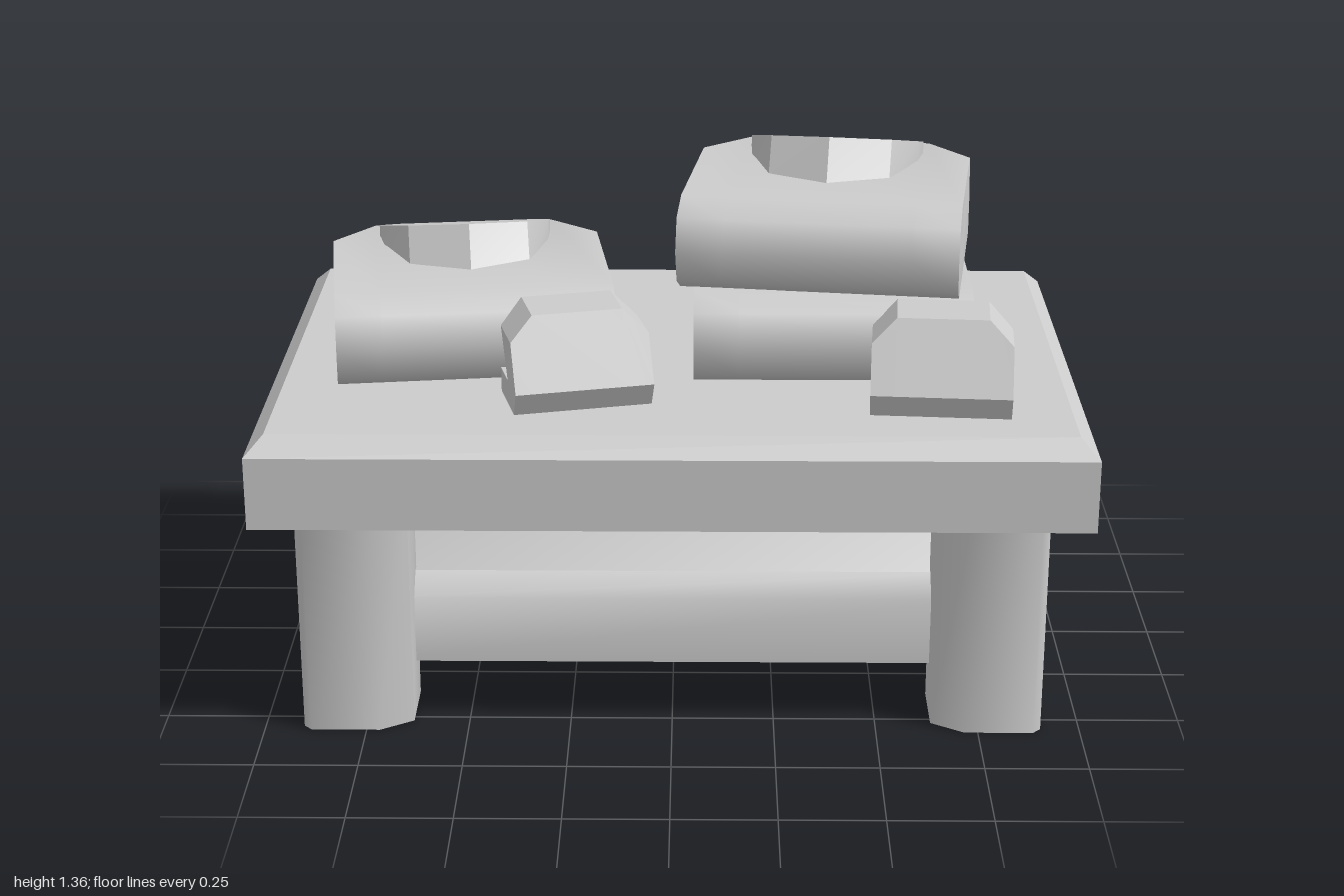
import * as THREE from 'three';
import { toCreasedNormals } from 'three/addons/utils/BufferGeometryUtils.js';

const grey = new THREE.MeshStandardMaterial({ color: 0xcccccc });
grey.name = 'plain grey';

// Capped skin over rings of [x, y, z] points that advance along +x or +y.
function loft(rings, axis, crease) {
  const flat = (p) => (axis === 'x' ? new THREE.Vector2(p[1], p[2]) : new THREE.Vector2(p[2], p[0]));
  if (THREE.ShapeUtils.area(rings[0].map(flat)) < 0) rings = rings.map((r) => [...r].reverse());
  const n = rings[0].length;
  const last = (rings.length - 1) * n;
  const index = [];
  for (let r = 0; r < last; r += n) {
    for (let i = 0; i < n; i++) {
      const a = r + i, b = r + ((i + 1) % n);
      index.push(a, b, b + n, a, b + n, a + n);
    }
  }
  const cap = (ring) => THREE.ShapeUtils.triangulateShape(ring.map(flat), []);
  for (const [a, b, c] of cap(rings[0])) index.push(c, b, a);
  for (const [a, b, c] of cap(rings[rings.length - 1])) index.push(last + a, last + b, last + c);
  const g = new THREE.BufferGeometry();
  g.setAttribute('position', new THREE.Float32BufferAttribute(rings.flat(2), 3));
  g.setIndex(index);
  return toCreasedNormals(g, crease);
}

function part(name, geometry) {
  const mesh = new THREE.Mesh(geometry, grey);
  mesh.name = name;
  return mesh;
}

// Slab whose top edge is bevelled all round.
function slab(w, d, y0, y1, bevel, crease) {
  const ring = (y, k) => [[-w + k, y, -d + k], [w - k, y, -d + k], [w - k, y, d - k], [-w + k, y, d - k]];
  return loft([ring(y0, 0), ring(y1 - bevel, 0), ring(y1, bevel)], 'y', crease);
}

// Leg with a nearly sharp outer corner and softer cuts on the others.
function leg(sx, sz) {
  const h = 0.134;
  const outline = [
    [h, h - 0.02], [h - 0.02, h], [-h + 0.08, h], [-h, h - 0.05],
    [-h, -h + 0.06], [-h + 0.06, -h], [h - 0.05, -h], [h, -h + 0.08],
  ];
  const ring = (y) => outline.map(([x, z]) => [sx * (0.771 + x), y, sz * (0.435 + z)]);
  return loft([ring(0), ring(0.575)], 'y', 1);
}

// Pillow-like sack: rounded front, sloped back, cut back corners.
function sackBody() {
  const section = (x, cut) => [
    [0.28, 0], [0.345, 0.035], [0.37, 0.115], [0.345, 0.195], [0.265, 0.228],
    [-0.28 + cut, 0.228], [-0.375 + cut, 0.11], [-0.375 + cut, 0],
  ].map(([z, y]) => [x, y, z]);
  return loft([section(-0.34, 0.12), section(-0.23, 0), section(0.23, 0), section(0.34, 0.12)], 'x', 1);
}

// Sloping flap that rises to a pointed front lip.
function sackFlap() {
  const outline = [
    [-0.17, -0.28, 0], [-0.22, -0.19, 0], [-0.21, -0.13, 0.02], [-0.15, -0.01, 0.07],
    [0, 0.055, 0.07], [0.15, -0.01, 0.07], [0.21, -0.13, 0.02], [0.22, -0.19, 0], [0.17, -0.28, 0],
  ];
  const foot = outline.map(([x, z, out]) => [x, -0.015, z + out]);
  const top = outline.map(([x, z]) => [x, 0.1 * (z + 0.29) / 0.345, z]);
  return loft([foot, top], 'y', 0.5);
}

// Leaning block with an overhanging back and cut top corners.
function leaningBlock() {
  const section = (x, drop) => [
    [0.07, 0], [0.1, 0.06], [0.01 + 0.55 * drop, 0.226 - drop], [-0.13 + 0.7 * drop, 0.226 - drop],
    [-0.01, 0.06], [-0.1, 0.06], [-0.1, 0],
  ].map(([z, y]) => [x, y, z]);
  return loft([section(-0.168, 0.055), section(-0.11, 0), section(0.11, 0), section(0.168, 0.055)], 'x', 0.6);
}

export function createModel() {
  const model = new THREE.Group();
  model.name = 'tableWithSacks';

  // Table
  model.add(part('tableTop', slab(1, 0.66, 0.575, 0.8, 0.045, 0.5)));
  model.add(part('lowerShelf', slab(0.77, 0.43, 0.12, 0.345, 0.05, 1)));
  for (const sx of [-1, 1]) {
    for (const sz of [-1, 1]) {
      model.add(part((sz > 0 ? 'front' : 'back') + (sx > 0 ? 'Left' : 'Right') + 'Leg', leg(sx, sz)));
    }
  }

  // Sacks: one on its own, two stacked
  const body = sackBody();
  const flap = sackFlap();
  const sacks = [
    ['singleSack', -0.52, 0.8, 0.13, true],
    ['lowerSack', 0.39, 0.8, 0, false],
    ['upperSack', 0.39, 1.027, -0.13, true],
  ];
  for (const [name, x, y, turn, hasFlap] of sacks) {
    const sack = new THREE.Group();
    sack.name = name;
    sack.add(part('sackBody', body));
    if (hasFlap) {
      const top = part('sackFlap', flap);
      top.position.y = 0.228;
      sack.add(top);
    }
    sack.position.set(x, y, -0.037);
    sack.rotation.y = turn;
    model.add(sack);
  }

  // Small blocks leaning in front of the sacks
  const block = leaningBlock();
  for (const [name, x, z, turn] of [['rightBlock', -0.23, 0.38, 0.24], ['leftBlock', 0.643, 0.422, -0.075]]) {
    const mesh = part(name, block);
    mesh.position.set(x, 0.8, z);
    mesh.rotation.y = turn;
    model.add(mesh);
  }
  return model;
}
